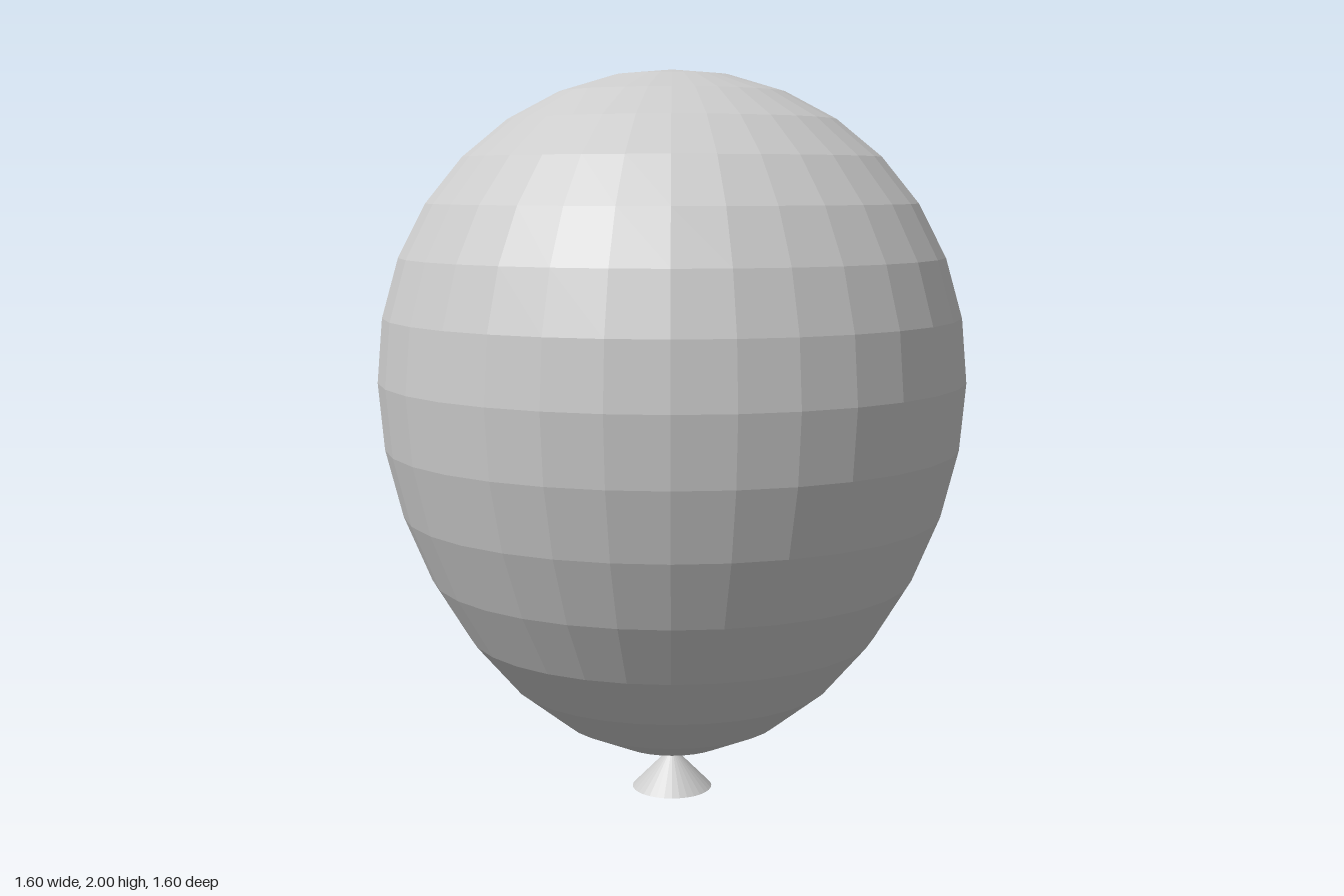
import * as THREE from 'three';

const material = new THREE.MeshStandardMaterial({ color: 0xcccccc, flatShading: true });

// Faceted sphere, stretched downward into a balloon
function balloonBody() {
  const geometry = new THREE.SphereGeometry(1, 32, 16);
  const pos = geometry.attributes.position;
  for (let i = 0; i < pos.count; i++) {
    const c = pos.getY(i);
    const y = 1.17 + 0.905 * c - 0.1125 * c * c + 0.0375 * c * c * c;
    pos.setXYZ(i, pos.getX(i) * 0.8, y, pos.getZ(i) * 0.8);
  }
  geometry.computeVertexNormals();
  const mesh = new THREE.Mesh(geometry, material);
  mesh.name = 'balloonBody';
  return mesh;
}

// Flared knot under the body, closed at its base
function balloonKnot() {
  const height = 0.115;
  const mesh = new THREE.Mesh(new THREE.ConeGeometry(0.112, height, 32), material);
  mesh.position.y = height / 2;
  mesh.name = 'knot';
  return mesh;
}

export function createModel() {
  const group = new THREE.Group();
  group.name = 'balloon';
  group.add(balloonBody(), balloonKnot());
  return group;
}
